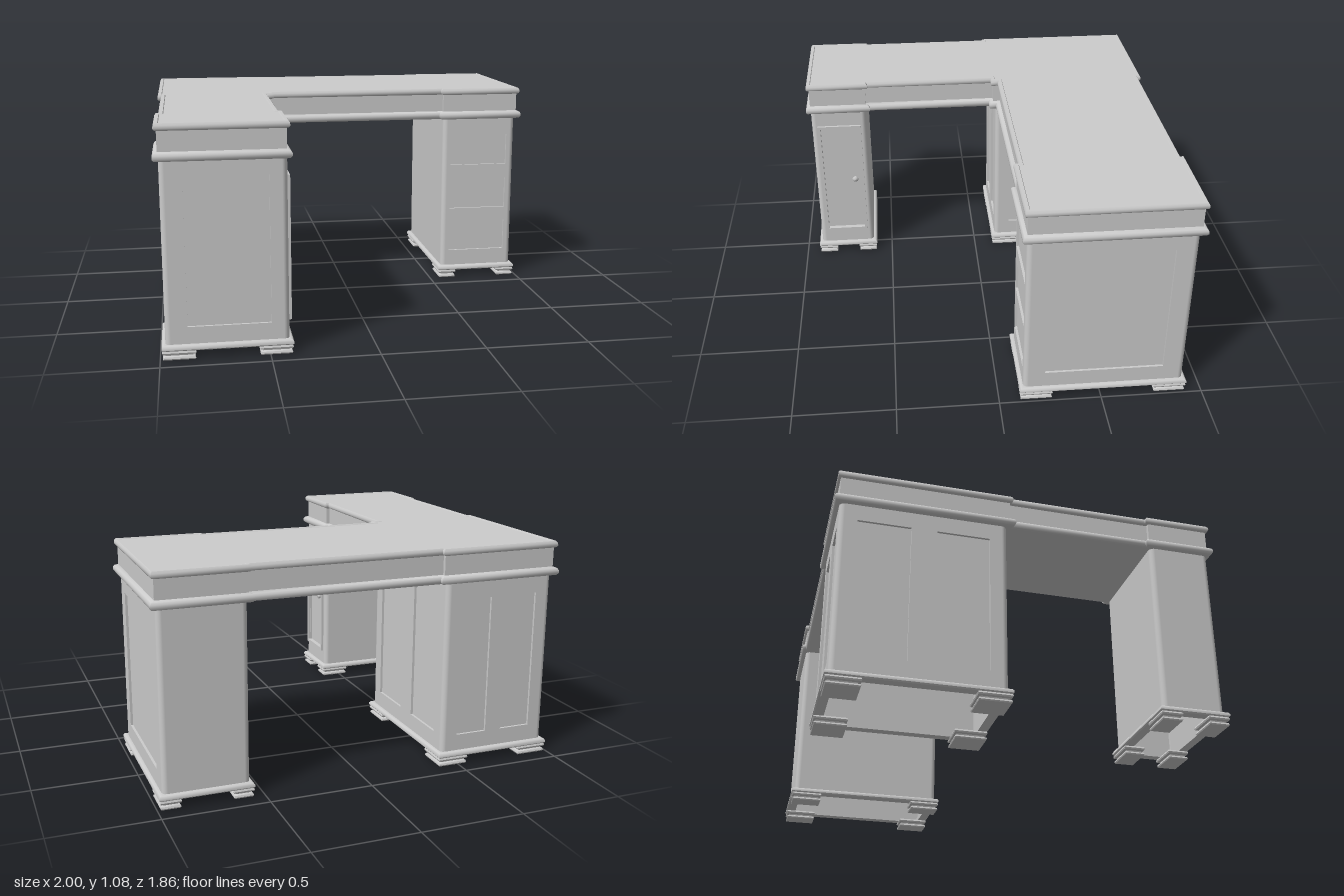
import * as THREE from 'three';
import { toCreasedNormals } from 'three/addons/utils/BufferGeometryUtils.js';

const material = new THREE.MeshStandardMaterial({ color: 0xcccccc, side: THREE.DoubleSide });

function add(parent, name, geometry, x = 0, y = 0, z = 0) {
  const mesh = new THREE.Mesh(geometry, material);
  mesh.name = name;
  mesh.position.set(x, y, z);
  parent.add(mesh);
  return mesh;
}

// Square-cornered outline (clockwise seen from above) moved inwards by d
function inset(outline, d) {
  const n = outline.length;
  const inward = i => {
    const [ax, az] = outline[i], [bx, bz] = outline[(i + 1) % n];
    return [-Math.sign(bz - az), Math.sign(bx - ax)];
  };
  return outline.map(([x, z], i) => {
    const p = inward((i + n - 1) % n), q = inward(i);
    return [x + d * (p[0] + q[0]), z + d * (p[1] + q[1])];
  });
}

// Sweeps a profile of [inset, y] points round an outline
function moulding(outline, profile, capped = true) {
  const rings = profile.map(([d, y]) => inset(outline, d).map(([x, z]) => [x, y, z]));
  const pos = [], n = outline.length;
  for (let r = 0; r + 1 < rings.length; r++) {
    for (let i = 0; i < n; i++) {
      const j = (i + 1) % n;
      const a0 = rings[r][i], b0 = rings[r][j], a1 = rings[r + 1][i], b1 = rings[r + 1][j];
      pos.push(...a0, ...a1, ...b0, ...b0, ...a1, ...b1);
    }
  }
  if (capped) {
    for (const [ring, up] of [[rings[0], -1], [rings[rings.length - 1], 1]]) {
      const flat = ring.map(p => new THREE.Vector2(p[0], p[2]));
      for (const tri of THREE.ShapeUtils.triangulateShape(flat, [])) {
        const [a, b, c] = tri.map(k => ring[k]);
        const ny = (b[2] - a[2]) * (c[0] - a[0]) - (b[0] - a[0]) * (c[2] - a[2]);
        pos.push(...a, ...(ny * up > 0 ? b : c), ...(ny * up > 0 ? c : b));
      }
    }
  }
  const geometry = new THREE.BufferGeometry();
  geometry.setAttribute('position', new THREE.Float32BufferAttribute(pos, 3));
  return toCreasedNormals(geometry, 0.75);
}

const rect = (x0, x1, z0, z1) => [[x0, z0], [x1, z0], [x1, z1], [x0, z1]];

function rectPath(path, x0, x1, y0, y1) {
  path.moveTo(x0, y0);
  path.lineTo(x1, y0);
  path.lineTo(x1, y1);
  path.lineTo(x0, y1);
  path.closePath();
  return path;
}

// Flat board facing +z with rectangular openings [cx, cy, w, h]
function board(x0, x1, y0, y1, depth, openings) {
  const shape = rectPath(new THREE.Shape(), x0, x1, y0, y1);
  for (const [cx, cy, w, h] of openings) {
    shape.holes.push(rectPath(new THREE.Path(), cx - w / 2, cx + w / 2, cy - h / 2, cy + h / 2));
  }
  return new THREE.ExtrudeGeometry(shape, { depth, bevelEnabled: false });
}

const BOTTOM = 0.06, TOP = 0.915, ROUND = 0.025;

// Hollow pedestal; panels holds the openings for the +z, +x, -z and -x sides
function pedestal(name, x0, x1, z0, z1, panels, footW, footD) {
  const group = new THREE.Group();
  group.name = name;
  const cx = (x0 + x1) / 2, cz = (z0 + z1) / 2, w = x1 - x0, d = z1 - z0;
  for (let k = 0; k < 4; k++) {
    const side = new THREE.Group();
    side.name = 'side';
    side.position.set(cx, 0, cz);
    side.rotation.y = k * Math.PI / 2;
    group.add(side);
    const half = (k % 2 ? d : w) / 2, out = (k % 2 ? w : d) / 2;
    add(side, 'sideFrame', board(-half + ROUND, half - ROUND, BOTTOM, TOP, 0.02, panels[k]), 0, 0, out - 0.02);
    for (const [px, py, pw, ph] of panels[k]) {
      add(side, 'recessedPanel', new THREE.BoxGeometry(pw, ph, 0.008), px, py, out - 0.016);
    }
    // Rounded upright at the corner
    const corner = new THREE.CylinderGeometry(ROUND, ROUND, TOP - BOTTOM, 5, 1, true, 0, Math.PI / 2);
    add(side, 'cornerPost', corner, half - ROUND, (TOP + BOTTOM) / 2, out - ROUND);
  }
  // Plinth frame, open in the middle
  const base = rect(x0 - 0.018, x1 + 0.018, z0 - 0.018, z1 + 0.018);
  add(group, 'plinth', moulding(base, [[0.05, 0.065], [0.05, 0.042], [0.006, 0.042], [0, 0.048],
    [0, 0.058], [0.006, 0.066], [0.018, 0.07], [0.05, 0.065]], false));
  // Stepped feet
  for (const sx of [-1, 1]) {
    for (const sz of [-1, 1]) {
      const fx = cx + sx * (w / 2 + 0.016 - footW / 2), fz = cz + sz * (d / 2 + 0.016 - footD / 2);
      const foot = rect(fx - footW / 2, fx + footW / 2, fz - footD / 2, fz + footD / 2);
      add(group, 'foot', moulding(foot, [[0.006, 0], [0.003, 0.006], [0.006, 0.014], [0.016, 0.018],
        [0.014, 0.024], [0.003, 0.027], [0, 0.034], [0.004, 0.043]]));
    }
  }
  return group;
}

export function createModel() {
  const desk = new THREE.Group();
  desk.name = 'cornerDesk';

  // L-shaped top with projecting ends and corner block
  const outline = [
    [-1, -0.93], [-0.37, -0.93], [-0.37, -0.912], [0.54, -0.912], [0.54, -0.93], [1, -0.93],
    [1, -0.095], [0.54, -0.095], [0.54, -0.117], [-0.37, -0.117], [-0.37, -0.08], [-0.408, -0.08],
    [-0.408, 0.58], [-0.39, 0.58], [-0.39, 0.93], [-1, 0.93], [-1, 0.58], [-0.982, 0.58],
    [-0.982, -0.08], [-1, -0.08],
  ];
  add(desk, 'deskTop', moulding(outline, [
    [0.022, 0.91], [0.007, 0.914], [0, 0.924], [0, 0.938], [0.007, 0.948], [0.022, 0.954],
    [0.022, 1.046], [0.012, 1.05], [0.008, 1.058], [0.009, 1.07], [0.016, 1.08],
    [0.029, 1.08], [0.032, 1.076],
  ]));

  // Drawer pedestal under the right end
  const drawers = [0.24, 0.485, 0.735].map(y => [0, y, 0.32, 0.168]);
  desk.add(pedestal('drawerPedestal', 0.565, 0.972, -0.905, -0.118,
    [drawers, [[0, 0.49, 0.58, 0.68]], [], []], 0.1, 0.16));

  // Corner pedestal with twin panels on every side
  const twin = (offset, w) => [-1, 1].map(s => [s * offset, 0.49, w, 0.68]);
  const narrow = twin(0.122, 0.16), wide = twin(0.185, 0.25);
  desk.add(pedestal('cornerPedestal', -0.975, -0.41, -0.905, -0.118,
    [narrow, wide, narrow, wide], 0.155, 0.16));

  // Cupboard pedestal under the wing
  const cupboard = pedestal('cupboardPedestal', -0.975, -0.41, 0.605, 0.908,
    [[[0.01, 0.495, 0.38, 0.69]], [[0, 0.49, 0.21, 0.65]], [], []], 0.155, 0.105);
  desk.add(cupboard);

  // Cupboard door frame and knob
  const door = new THREE.Group();
  door.name = 'door';
  door.position.set(-0.41, 0, 0.758);
  door.rotation.y = Math.PI / 2;
  cupboard.add(door);
  add(door, 'doorFrame', board(-0.12, 0.12, 0.15, 0.83, 0.013, [[0, 0.49, 0.21, 0.65]]));
  const knob = [[0.006, 0], [0.006, 0.012], [0.014, 0.016], [0.017, 0.023], [0.012, 0.03], [0, 0.033]];
  const knobMesh = add(door, 'knob',
    new THREE.LatheGeometry(knob.map(p => new THREE.Vector2(...p)), 16), 0.07, 0.49, -0.012);
  knobMesh.rotation.x = Math.PI / 2;

  return desk;
}
